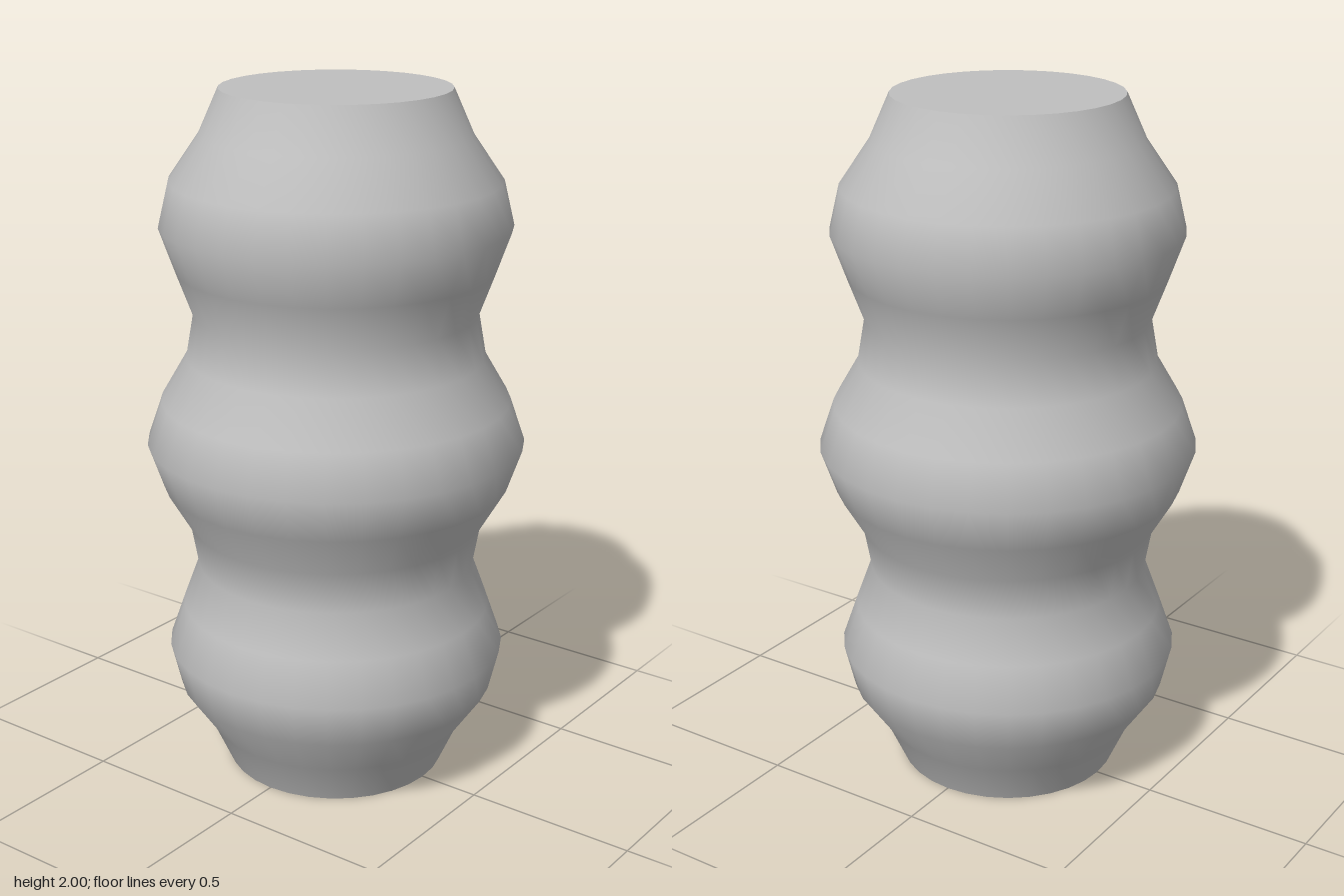
import * as THREE from 'three';

const SIDES = 32;
const HEIGHT = 2;
// Radii of the evenly spaced rings, from the base up to the widest waist
const LOWER_RADII = [0.32, 0.376, 0.462, 0.492, 0.448, 0.402, 0.424, 0.497, 0.54];

export function createModel() {
  const group = new THREE.Group();
  group.name = 'rippledColumn';
  const grey = new THREE.MeshStandardMaterial({ color: 0xbfbfbf });
  grey.name = 'light grey';

  const add = (name, geometry) => {
    const mesh = new THREE.Mesh(geometry, grey);
    mesh.name = name;
    group.add(mesh);
    return mesh;
  };

  // Rippled wall: the lower half mirrored upwards and turned about the axis
  const radii = [...LOWER_RADII, ...LOWER_RADII.slice(0, -1).reverse()];
  const profile = radii.map((r, i) => new THREE.Vector2(r, (HEIGHT * i) / (radii.length - 1)));
  add('rippledWall', new THREE.LatheGeometry(profile, SIDES));

  // Flat end caps
  const cap = new THREE.CircleGeometry(LOWER_RADII[0], SIDES);
  const top = add('topCap', cap);
  top.rotation.x = -Math.PI / 2;
  top.position.y = HEIGHT;
  const bottom = add('bottomCap', cap);
  bottom.rotation.x = Math.PI / 2;

  return group;
}
